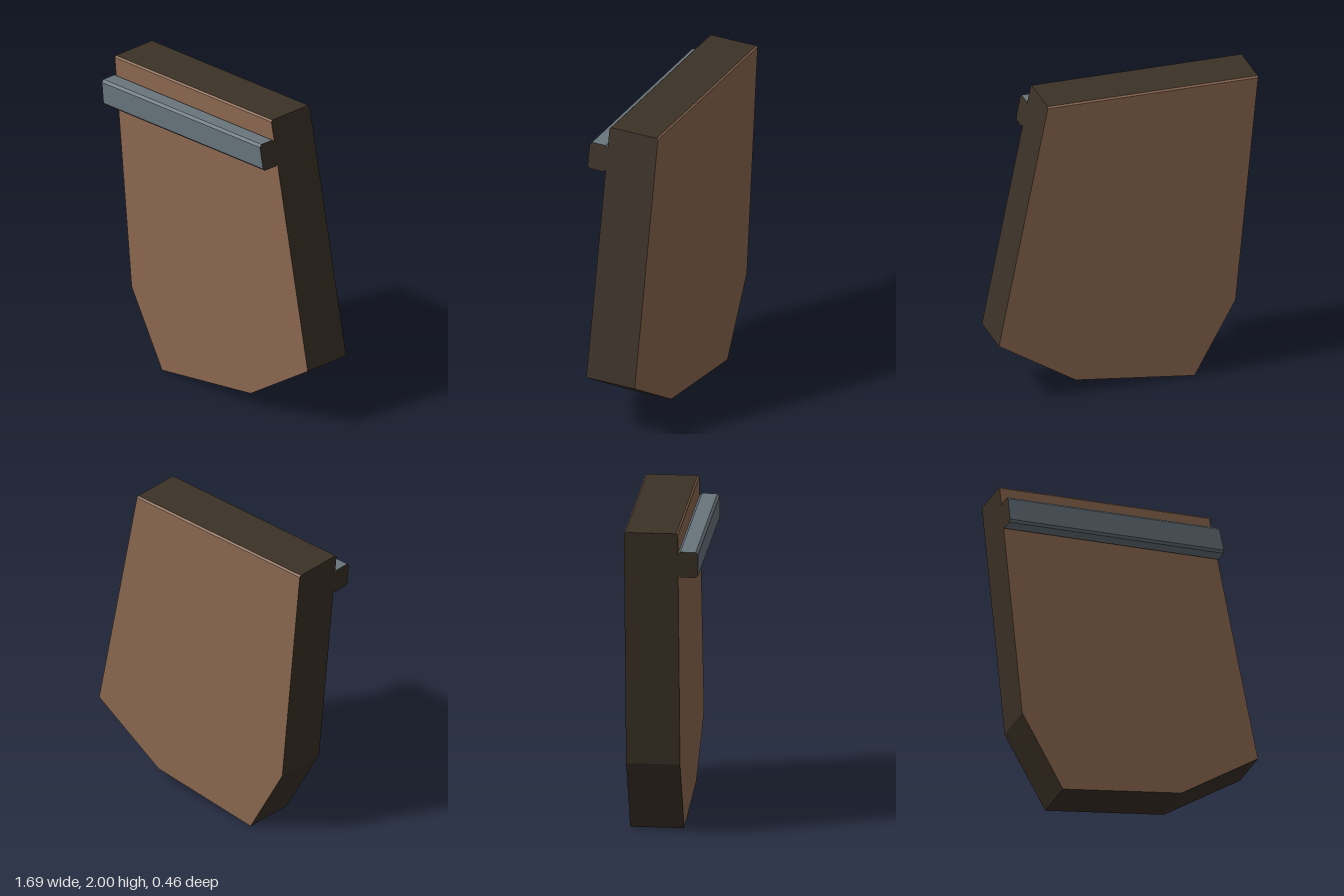
import * as THREE from 'three';

const mat = (name, color) => {
  const m = new THREE.MeshStandardMaterial({ color });
  m.name = name;
  return m;
};

const BACK = -0.23, FRONT = 0.105, SHOULDER = 1.99;

// Slanted side edges of the panel: x at a given height
const leftX = (y) => -0.845 + (2 - y) * 0.097;
const rightX = (y) => 0.525 + (2 - y) * 0.2;

// Prism across the panel: a [z, y] profile, going up the front and down the back,
// whose ends follow the slanted panel edges. Strips marked true use the end colour.
function slantedPrism(name, profile, faceMat, endMat, isEnd = () => false) {
  const faces = [], ends = [];
  const L = profile.map(([z, y]) => [leftX(y), y, z]);
  const R = profile.map(([z, y]) => [rightX(y), y, z]);
  const n = profile.length;
  for (let i = 0; i < n; i++) {
    const j = (i + 1) % n;
    (isEnd(i) ? ends : faces).push(...L[i], ...R[i], ...R[j], ...L[i], ...R[j], ...L[j]);
    if (i > 0 && i < n - 1) ends.push(...L[0], ...L[i], ...L[j], ...R[0], ...R[j], ...R[i]);
  }
  const geo = new THREE.BufferGeometry();
  geo.setAttribute('position', new THREE.Float32BufferAttribute([...faces, ...ends], 3));
  geo.addGroup(0, faces.length / 3, 0);
  geo.addGroup(faces.length / 3, ends.length / 3, 1);
  geo.computeVertexNormals();
  const mesh = new THREE.Mesh(geo, [faceMat, endMat]);
  mesh.name = name;
  return mesh;
}

export function createModel() {
  const brown = mat('brown', 0x8b6850);
  const dark = mat('dark brown', 0x3b3127);
  const grey = mat('steel grey', 0x68747c);
  const group = new THREE.Group();
  group.name = 'brokenPanel';

  // Main slab with a broken lower edge
  const outline = [
    [leftX(SHOULDER), SHOULDER], [-0.697, 0.48], [-0.43, 0],
    [0.345, 0.09], [0.845, 0.4], [rightX(SHOULDER), SHOULDER],
  ].map(([x, y]) => new THREE.Vector2(x, y));
  const slabGeo = new THREE.ExtrudeGeometry(new THREE.Shape(outline), {
    depth: FRONT - BACK, bevelEnabled: false,
  });
  slabGeo.translate(0, 0, BACK);
  const slab = new THREE.Mesh(slabGeo, [brown, dark]);
  slab.name = 'slab';
  group.add(slab);

  // Top of the slab: narrow brown bevels around a dark edge
  const b = 0.01;
  group.add(slantedPrism('topEdge', [
    [FRONT, SHOULDER], [FRONT - b, 2], [BACK + b, 2], [BACK, SHOULDER],
  ], brown, dark, (i) => i === 1 || i === 3));

  // Chamfered metal rail across the front
  const z0 = FRONT, z1 = 0.23, y0 = 1.713, y1 = 1.88, c = 0.015;
  group.add(slantedPrism('rail', [
    [z1, y0 + c], [z1, y1 - c], [z1 - c, y1], [z0 + c, y1],
    [z0, y1 - c], [z0, y0 + c], [z0 + c, y0], [z1 - c, y0],
  ], grey, dark));

  return group;
}
